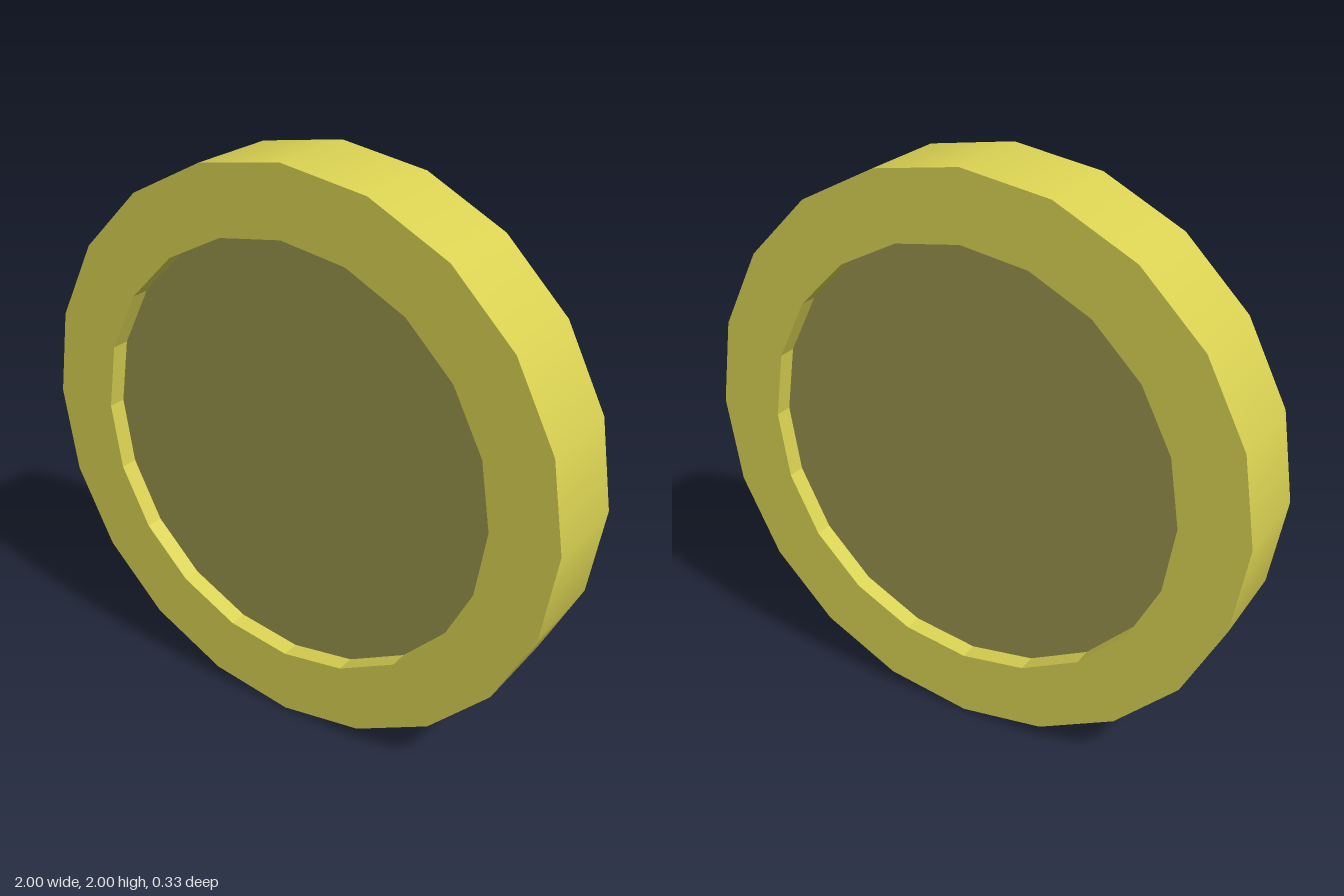
import * as THREE from 'three';

const SIDES = 20, OUTER = 1, INNER = 0.762, HALF = 0.165, FLOOR = 0.1;

export function createModel() {
  const group = new THREE.Group();
  const rimMat = new THREE.MeshStandardMaterial({ color: 0xd9d152 });
  const wallMat = new THREE.MeshStandardMaterial({ color: 0xd9d152, flatShading: true, side: THREE.DoubleSide });
  const faceMat = new THREE.MeshStandardMaterial({ color: 0x96914c });

  const add = (parent, name, geometry, material) => {
    const mesh = new THREE.Mesh(geometry, material);
    mesh.name = name;
    parent.add(mesh);
    return mesh;
  };
  // open tube with its axis along z
  const tube = (radius, depth) =>
    new THREE.CylinderGeometry(radius, radius, depth, SIDES, 1, true).rotateX(Math.PI / 2);

  const coin = new THREE.Group();
  coin.name = 'coin';
  coin.position.y = OUTER;
  group.add(coin);

  // smooth outer edge
  add(coin, 'outerEdge', tube(OUTER, HALF * 2), rimMat);

  // raised rim, recess wall and sunken face on both sides
  for (const [name, turn] of [['front', 0], ['back', Math.PI]]) {
    const side = new THREE.Group();
    side.name = name + 'Side';
    side.rotation.y = turn;
    coin.add(side);
    add(side, name + 'Rim', new THREE.RingGeometry(INNER, OUTER, SIDES), rimMat).position.z = HALF;
    add(side, name + 'RecessWall', tube(INNER, HALF - FLOOR), wallMat).position.z = (HALF + FLOOR) / 2;
    add(side, name + 'Face', new THREE.CircleGeometry(INNER, SIDES), faceMat).position.z = FLOOR;
  }
  return group;
}
